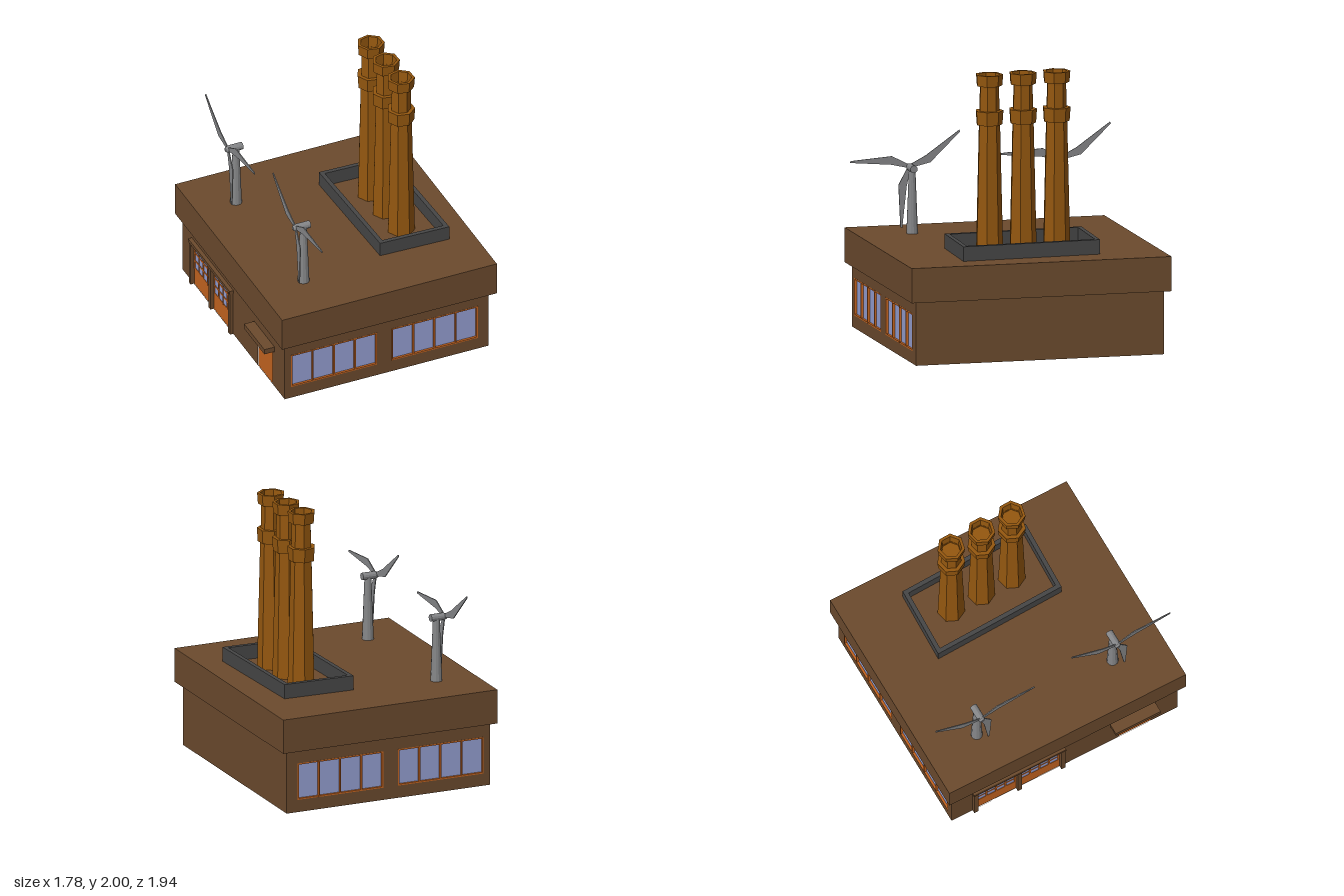
import * as THREE from 'three';

const mat = (color, opts = {}) => new THREE.MeshStandardMaterial({ color, side: THREE.DoubleSide, ...opts });
const M = {
  wall: mat(0x6b4a2d), orange: mat(0xc46420), glass: mat(0x959fd2), curb: mat(0x464646),
  brick: mat(0x94570f, { flatShading: true }), metal: mat(0x858688, { flatShading: true }),
};

function add(parent, name, geo, material, x = 0, y = 0, z = 0) {
  const m = new THREE.Mesh(geo, material);
  m.name = name;
  m.position.set(x, y, z);
  parent.add(m);
  return m;
}

// box given by its min and max corners
function span(parent, name, material, x0, x1, y0, y1, z0, z1) {
  return add(parent, name, new THREE.BoxGeometry(x1 - x0, y1 - y0, z1 - z0), material,
    (x0 + x1) / 2, (y0 + y1) / 2, (z0 + z1) / 2);
}

function rect(Type, x0, x1, y0, y1) {
  return new Type([[x0, y0], [x1, y0], [x1, y1], [x0, y1]].map(p => new THREE.Vector2(...p)));
}

// flat rectangle with rectangular holes, each [x0, x1, y0, y1]
function sheet(outer, holes = []) {
  const s = rect(THREE.Shape, ...outer);
  holes.forEach(h => s.holes.push(rect(THREE.Path, ...h)));
  return new THREE.ShapeGeometry(s);
}

// glazed opening with a frame and evenly spaced bars
function glazing(parent, x0, x1, y0, y1, cols, rows, t, z0, z1) {
  span(parent, 'glass', M.glass, x0, x1, y0, y1, z0, z0 + 0.004);
  for (let i = 0; i <= cols; i++) {
    const x = x0 + t / 2 + (x1 - x0 - t) * i / cols;
    span(parent, 'windowMullion', M.orange, x - t / 2, x + t / 2, y0, y1, z0, z1);
  }
  for (let j = 0; j <= rows; j++) {
    const y = y0 + t / 2 + (y1 - y0 - t) * j / rows;
    span(parent, 'windowRail', M.orange, x0, x1, y - t / 2, y + t / 2, z0, z1 - 0.001);
  }
}

function wallGroup(parent, name, x, z, turn) {
  const g = new THREE.Group();
  g.name = name;
  g.position.set(x, 0, z);
  g.rotation.y = turn;
  parent.add(g);
  return g;
}

function makeBuilding() {
  const b = new THREE.Group();
  b.name = 'building';
  const X0 = -0.79, X1 = 0.81, Z0 = -0.93, Z1 = 0.885, H = 0.46;

  // front and back walls, each with two four-pane windows
  const wins = [[-0.74, -0.065], [0.05, 0.725]];
  for (const s of [1, -1]) {
    const g = wallGroup(b, s > 0 ? 'frontWall' : 'backWall', 0, s > 0 ? Z1 : Z0, s > 0 ? 0 : Math.PI);
    const mine = wins.map(([p, q]) => s > 0 ? [p, q] : [-q, -p]);
    add(g, 'wallFace', sheet(s > 0 ? [X0, X1, 0, H] : [-X1, -X0, 0, H],
      mine.map(w => [...w, 0.09, 0.36])), M.wall);
    for (const [p, q] of mine) {
      span(g, 'windowBacking', M.wall, p - 0.004, q + 0.004, 0.086, 0.364, -0.03, -0.02);
      glazing(g, p, q, 0.09, 0.36, 4, 1, 0.01, -0.02, 0.002);
    }
  }

  // blank right wall
  const r = wallGroup(b, 'rightWall', X1, 0, Math.PI / 2);
  add(r, 'wallFace', sheet([-Z1, -Z0, 0, H]), M.wall);

  // left wall with two garage doors and an entrance
  const l = wallGroup(b, 'leftWall', X0, 0, -Math.PI / 2);
  const bays = [[-0.73, -0.41], [-0.38, -0.06]], door = [0.41, 0.67];
  add(l, 'wallFace', sheet([Z0, Z1, 0, H],
    [...bays.map(d => [...d, 0.005, 0.34]), [...door, 0.005, 0.3]]), M.wall);
  for (const [p, q] of bays) {
    span(l, 'garageDoorPanel', M.orange, p, q, 0, 0.14, -0.012, -0.004);
    glazing(l, p, q, 0.13, 0.34, 4, 3, 0.014, -0.01, -0.002);
  }
  for (const z of [-0.745, -0.395, -0.045])
    span(l, 'garagePost', M.wall, z - 0.016, z + 0.016, 0, 0.35, -0.01, 0.025);
  span(l, 'garageLintel', M.wall, -0.765, -0.025, 0.345, 0.37, -0.005, 0.03);
  span(l, 'entranceDoor', M.orange, ...door, 0, 0.3, -0.012, -0.004);
  span(l, 'entranceCanopy', M.wall, 0.345, 0.705, 0.295, 0.335, 0, 0.08);

  // overhanging roof block, open below to the interior
  const rx0 = -0.83, rx1 = 0.855, rz0 = -0.97, rz1 = 0.93, top = 0.71;
  add(b, 'roofTop', sheet([rx0, rx1, -rz1, -rz0]).rotateX(-Math.PI / 2), M.wall, 0, top, 0);
  add(b, 'roofUnderside', sheet([rx0, rx1, rz0, rz1], [[X0, X1, Z0, Z1]]).rotateX(Math.PI / 2), M.wall, 0, H, 0);
  const fascia = [[0, rz1, 0, rx0, rx1], [0, rz0, Math.PI, -rx1, -rx0],
    [rx1, 0, Math.PI / 2, -rz1, -rz0], [rx0, 0, -Math.PI / 2, rz0, rz1]];
  for (const [x, z, turn, u0, u1] of fascia)
    add(wallGroup(b, 'roofEdge', x, z, turn), 'roofFascia', sheet([u0, u1, H, top]), M.wall);

  // bake the slight sideways skew of the plan
  b.updateMatrixWorld(true);
  const k = -0.034;
  const skew = new THREE.Matrix4().set(1, 0, k, k * 0.022, 0, 1, 0, 0, 0, 0, 1, 0, 0, 0, 0, 1);
  const out = new THREE.Group();
  out.name = 'building';
  b.traverse(o => {
    if (o.isMesh) add(out, o.name, o.geometry.clone().applyMatrix4(o.matrixWorld).applyMatrix4(skew), o.material);
  });
  return out;
}

// low rectangular curb around the chimneys, slightly skewed
function makeCurb() {
  const x0 = 0.12, x1 = 0.655, z = 0.505, t = 0.032;
  const s = rect(THREE.Shape, x0, x1, -z, z);
  s.holes.push(rect(THREE.Path, x0 + t, x1 - t, -z + t, z - t));
  const geo = new THREE.ExtrudeGeometry(s, { depth: 0.107, bevelEnabled: false }).rotateX(-Math.PI / 2);
  const k = 0.034;
  geo.applyMatrix4(new THREE.Matrix4().set(1, 0, 0, 0, 0, 1, 0, 0, k, 0, 1, -k * 0.39, 0, 0, 0, 1));
  const m = new THREE.Mesh(geo, M.curb);
  m.name = 'chimneyCurb';
  m.position.set(0, 0.708, -0.015);
  return m;
}

// seven-sided tapering stack with two collars and a hollow top
function makeChimney(z) {
  const profile = [[0.1, 0.705], [0.078, 1.64], [0.095, 1.64], [0.102, 1.74], [0.074, 1.74],
    [0.07, 1.92], [0.094, 1.92], [0.1, 2], [0.078, 2], [0.07, 1.9], [0, 1.9]];
  const geo = new THREE.LatheGeometry(profile.map(p => new THREE.Vector2(...p)), 7, -Math.PI / 2);
  const m = new THREE.Mesh(geo, M.brick);
  m.name = 'chimney';
  m.position.set(0.4, 0, z);
  return m;
}

// wind turbine with the rotor facing the left side of the roof
function makeTurbine(z) {
  const g = new THREE.Group();
  g.name = 'windTurbine';
  g.position.set(-0.507, 0, z);
  add(g, 'tower', new THREE.CylinderGeometry(0.024, 0.043, 0.48, 12, 1, true), M.metal, 0, 0.93, 0);
  const nacelle = [[0, -0.088], [0.014, -0.084], [0.023, -0.072], [0.027, -0.05], [0.027, 0.047], [0, 0.047]];
  add(g, 'nacelle', new THREE.LatheGeometry(nacelle.map(p => new THREE.Vector2(...p)), 12)
    .rotateZ(-Math.PI / 2), M.metal, 0, 1.178, 0);
  const outline = [[0, -0.012], [0.14, -0.064], [0.44, -0.007], [0.442, 0.006], [0.14, -0.003], [0, 0.012]];
  const blade = new THREE.Shape(outline.map(p => new THREE.Vector2(...p)));
  for (const deg of [173, 33, 262]) {
    const geo = new THREE.ExtrudeGeometry(blade, { depth: 0.007, bevelEnabled: false })
      .rotateZ(deg * Math.PI / 180).rotateY(Math.PI / 2);
    add(g, 'blade', geo, M.metal, -0.066, 1.18, 0);
  }
  return g;
}

export function createModel() {
  const model = new THREE.Group();
  model.name = 'powerStation';
  model.add(makeBuilding(), makeCurb());
  for (const z of [-0.262, -0.014, 0.234]) model.add(makeChimney(z));
  for (const z of [0.535, -0.578]) model.add(makeTurbine(z));
  return model;
}
